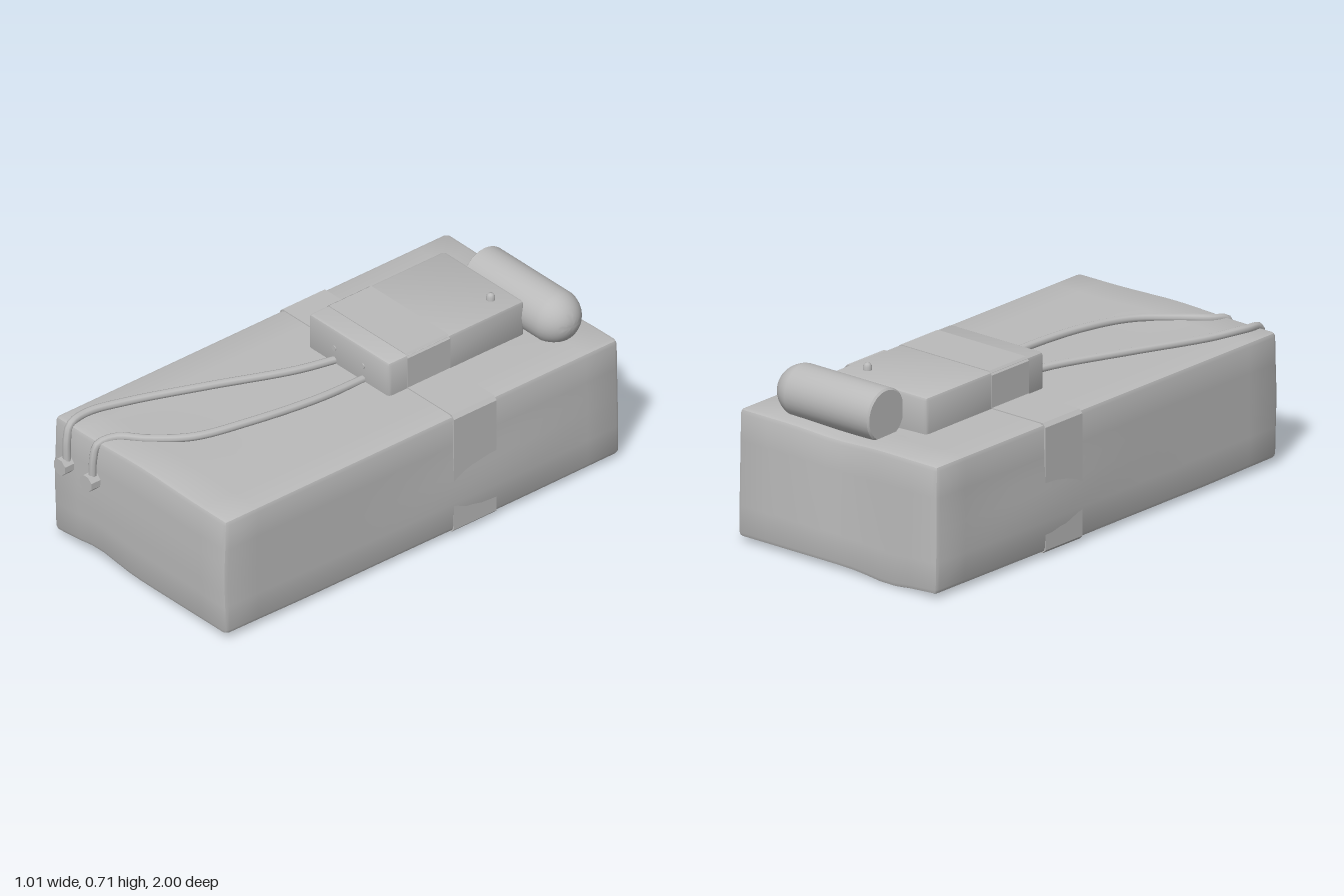
import * as THREE from 'three';
import { mergeVertices, toCreasedNormals } from 'three/addons/utils/BufferGeometryUtils.js';

const grey = new THREE.MeshStandardMaterial({ color: 0xbababa });
grey.name = 'plain grey';

function add(group, name, geometry, x = 0, y = 0, z = 0) {
  const mesh = new THREE.Mesh(geometry, grey);
  mesh.name = name;
  mesh.position.set(x, y, z);
  group.add(mesh);
  return mesh;
}

// Subdivided box with bevelled edges; warp(v) may bend the finished points
function bevelBox(size, segments, r, warp) {
  let geo = new THREE.BoxGeometry(...size, ...segments);
  geo.deleteAttribute('uv');
  geo.deleteAttribute('normal');
  geo = mergeVertices(geo);
  const p = geo.attributes.position, v = new THREE.Vector3(), inner = new THREE.Vector3();
  for (let i = 0; i < p.count; i++) {
    v.fromBufferAttribute(p, i);
    ['x', 'y', 'z'].forEach((a, k) => {
      const half = size[k] / 2, n = segments[k];
      const j = Math.round((v[a] / size[k] + 0.5) * n);
      // the outermost inner grid lines sit on the bevel
      if (j === 1) v[a] = -half + r;
      else if (j === n - 1) v[a] = half - r;
      inner[a] = THREE.MathUtils.clamp(v[a], -half + r, half - r);
    });
    const out = v.clone().sub(inner).normalize().multiplyScalar(r);
    v.copy(inner).add(out);
    if (warp) warp(v);
    p.setXYZ(i, v.x, v.y, v.z);
  }
  return toCreasedNormals(geo, 0.6);
}

const bump = (t, centre, width) => Math.exp(-(((t - centre) / width) ** 2));

// Slight dents and bulges of the soft bundle
function dent(v) {
  const end = THREE.MathUtils.smoothstep(Math.abs(v.z), 0.5, 0.97);
  const low = 0.5 - v.y / 0.51, side = v.x / 0.49, z = v.z;
  const x = v.x;
  v.x += side * 0.014 * bump(v.y, -0.08, 0.14) * bump(z, -0.4, 0.4);
  v.y += low * end * (z > 0 ? 0.025 * bump(x, -0.24, 0.13) + 0.006 : -0.018 * bump(x, -0.25, 0.12));
  v.y += (1 - low) * end * (z < 0 ? -0.018 * bump(x, 0.02, 0.16) : 0.01 * bump(x, 0, 0.2));
  v.z += (z < 0 ? 0.022 * bump(x, 0, 0.2) * (1 - low) - 0.008 * low : 0.008 * bump(v.y, 0, 0.15)) * end;
}

// Thin rectangular loop wrapped around a block
function strap(w, y0, y1, depth, t = 0.004) {
  const s = new THREE.Shape(), r = 0.015, x = w / 2 + t, a = y0 - t, b = y1 + t;
  s.moveTo(-x + r, a).lineTo(x - r, a).lineTo(x, a + r).lineTo(x, b - r);
  s.lineTo(x - r, b).lineTo(-x + r, b).lineTo(-x, b - r).lineTo(-x, a + r).closePath();
  const h = new THREE.Path(), c = w / 2 - t;
  h.moveTo(-c, y0 + t).lineTo(-c, y1 - t).lineTo(c, y1 - t).lineTo(c, y0 + t).closePath();
  s.holes.push(h);
  return new THREE.ExtrudeGeometry(s, { depth, bevelEnabled: false });
}

export function createModel() {
  const g = new THREE.Group();
  g.name = 'wiredBundle';

  // Wrapped body
  add(g, 'body', bevelBox([0.98, 0.51, 1.94], [14, 8, 24], 0.02, dent), 0, 0.275, -0.02);
  add(g, 'bodyStrap', strap(0.988, 0.02, 0.53, 0.21), 0, 0, -0.38);

  // Control box with its strap
  add(g, 'controlBox', bevelBox([0.46, 0.185, 0.67], [3, 3, 3], 0.014), 0, 0.5825, -0.415);
  add(g, 'boxStrap', strap(0.46, 0.5, 0.675, 0.21, 0.003), 0, 0, -0.38);

  // Indicator knob on the lid
  const knob = new THREE.LatheGeometry([[0.017, 0], [0.017, 0.02], [0.011, 0.03], [0, 0.033]]
    .map(q => new THREE.Vector2(...q)), 12);
  add(g, 'knob', knob, 0.14, 0.67, -0.66);

  // Sockets on the box front
  for (const s of [-1, 1]) {
    const socket = new THREE.CylinderGeometry(0.011, 0.011, 0.006, 12).rotateX(Math.PI / 2);
    add(g, s < 0 ? 'rightSocket' : 'leftSocket', socket, s * 0.082, 0.595, -0.079);
  }

  // Tank lying across the back, flat at one end and domed at the other
  const profile = [[0, -0.11], [0.098, -0.11], [0.105, -0.103]].map(q => new THREE.Vector2(...q));
  for (let i = 0; i <= 10; i++) {
    const a = i / 10 * Math.PI / 2;
    profile.push(new THREE.Vector2(0.025 * (1 - i / 10) + 0.08 * Math.cos(a), 0.305 + 0.095 * Math.sin(a)));
  }
  const tank = toCreasedNormals(new THREE.LatheGeometry(profile, 32), 0.6);
  add(g, 'tank', tank.rotateZ(-Math.PI / 2), 0, 0.604, -0.84);

  // Cables running forward and down over the front edge
  const routes = {
    rightCable: [[-0.08, 0.54, -0.1], [-0.12, 0.545, 0.08], [-0.25, 0.547, 0.4], [-0.37, 0.545, 0.7],
      [-0.41, 0.545, 0.86], [-0.405, 0.53, 0.945], [-0.4, 0.48, 0.965], [-0.395, 0.37, 0.97]],
    leftCable: [[0.08, 0.535, -0.1], [0.083, 0.545, 0.15], [0.045, 0.552, 0.45], [-0.02, 0.547, 0.67],
      [-0.13, 0.54, 0.8], [-0.22, 0.537, 0.88], [-0.245, 0.52, 0.95], [-0.248, 0.47, 0.966], [-0.25, 0.37, 0.97]],
  };
  for (const [name, pts] of Object.entries(routes)) {
    const curve = new THREE.CatmullRomCurve3(pts.map(q => new THREE.Vector3(...q)));
    add(g, name, new THREE.TubeGeometry(curve, 60, 0.016, 8));
  }

  // Eight-sided plugs at the cable ends
  for (const x of [-0.403, -0.253]) {
    const plug = new THREE.CylinderGeometry(0.035, 0.035, 0.06, 8).rotateY(Math.PI / 8).rotateX(Math.PI / 2);
    add(g, x < -0.3 ? 'rightPlug' : 'leftPlug', toCreasedNormals(plug, 0.6), x, 0.363, 0.97);
  }
  return g;
}
